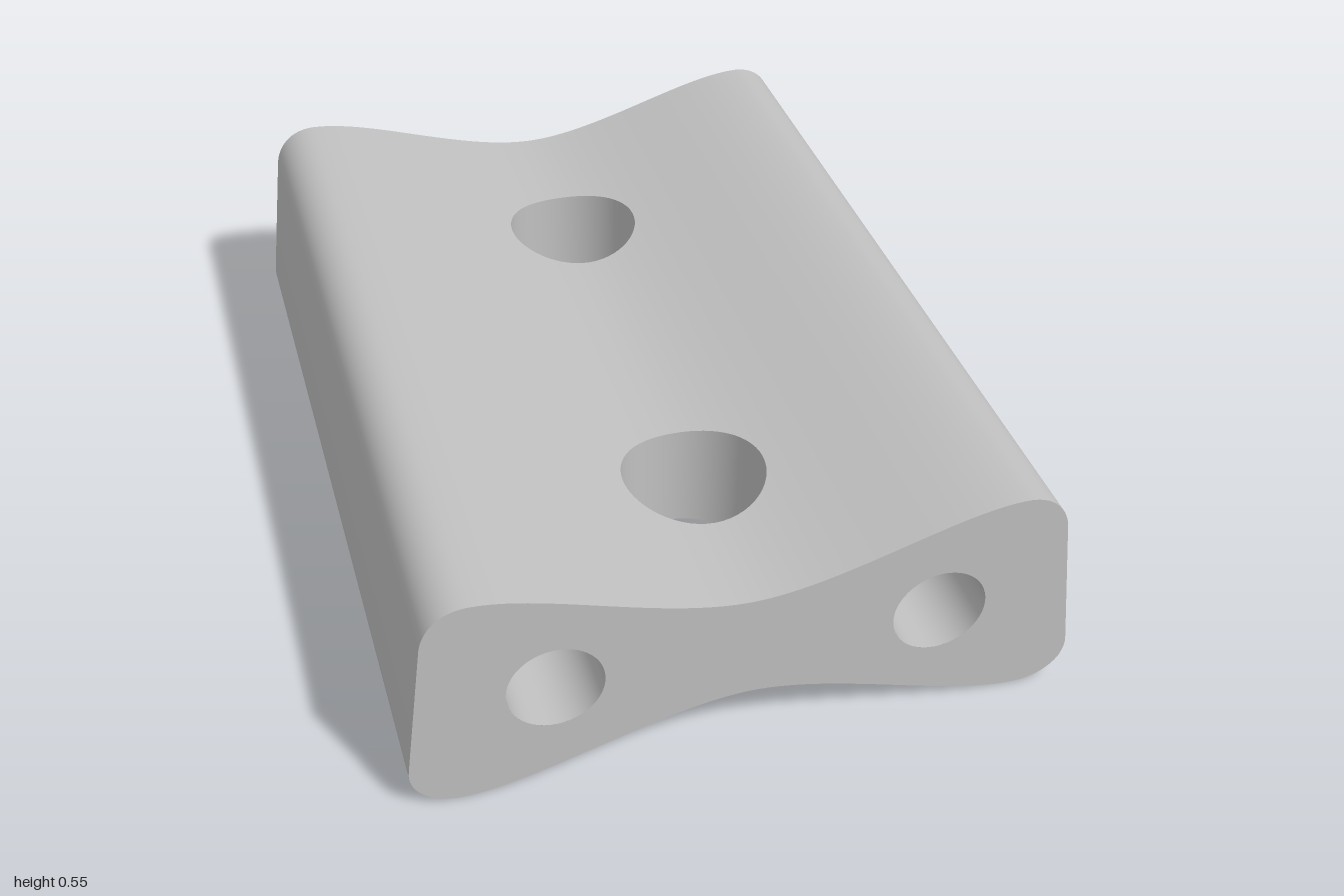
import * as THREE from 'three';

const HOLE_R = 0.165, HOLE_Z = [-0.51, 0.57];
const BORE_X = 0.433, BORE_R = 0.055, COUNTER_R = 0.108, COUNTER_Z = 0.6;
const QUARTER = 14; // hole facets per quarter turn

const bezier = (...p) => new THREE.CubicBezierCurve(
  ...[0, 2, 4, 6].map(i => new THREE.Vector2(p[i], p[i + 1])));

// Right half of the waisted cross-section
const bottomCurve = bezier(0, 0.144, 0.2, 0.144, 0.47, 0, 0.64, 0);
const lowerCorner = bezier(0.64, 0, 0.71, 0, 0.768, 0.045, 0.756, 0.115);
const upperCorner = bezier(0.715, 0.455, 0.705, 0.51, 0.665, 0.545, 0.61, 0.545);
const topCurve = bezier(0, 0.407, 0.2, 0.407, 0.45, 0.545, 0.61, 0.545);

// Point on a curve at a given x
function pointAt(curve, x) {
  let a = 0, b = 1;
  for (let i = 0; i < 40; i++) {
    const m = (a + b) / 2;
    if (curve.getPoint(m).x < x) a = m; else b = m;
  }
  return new THREE.Vector2(x, curve.getPoint(b).y);
}

// Columns follow the vertical holes near the waist, then run evenly outward
function halfCurve(curve, xEnd) {
  const pts = [];
  for (let k = 0; k <= QUARTER; k++) pts.push(pointAt(curve, HOLE_R * Math.sin(k / QUARTER * Math.PI / 2)));
  for (let k = 1; k <= 18; k++) pts.push(pointAt(curve, HOLE_R + (xEnd - HOLE_R) * k / 18));
  return pts;
}

function makeOutline() {
  const right = [
    ...halfCurve(bottomCurve, 0.64),
    ...lowerCorner.getPoints(12).slice(1),
    ...upperCorner.getPoints(12).slice(0, -1),
    ...halfCurve(topCurve, 0.61).reverse(),
  ];
  const left = right.slice(1, -1).reverse().map(p => new THREE.Vector2(-p.x, p.y));
  return [...right, ...left];
}

// Quads from corners [x, y, z] with one normal per corner
function quadGeometry(quads) {
  const pos = [], nor = [];
  for (const { c, n } of quads) {
    for (const i of [0, 1, 2, 0, 2, 3]) {
      pos.push(...c[i]);
      nor.push(...n[i]);
    }
  }
  const g = new THREE.BufferGeometry();
  g.setAttribute('position', new THREE.Float32BufferAttribute(pos, 3));
  g.setAttribute('normal', new THREE.Float32BufferAttribute(nor, 3));
  return g;
}

// Long outer skin, cut by the two vertical holes
function skinGeometry(outline) {
  const n = outline.length;
  const dir = outline.map((p, i) => outline[(i + 1) % n].clone().sub(p).normalize());
  const normals = outline.map((p, i) => {
    const d = dir[i].clone().add(dir[(i + n - 1) % n]).normalize();
    return [d.y, -d.x, 0];
  });
  const stops = p => {
    const h = Math.sqrt(Math.max(0, HOLE_R ** 2 - p.x ** 2));
    return [-1, ...HOLE_Z.flatMap(z => [z - h, z + h]), 1];
  };
  const quads = [];
  outline.forEach((p, i) => {
    const j = (i + 1) % n, q = outline[j], sp = stops(p), sq = stops(q);
    for (let k = 0; k < sp.length; k += 2) {
      quads.push({
        c: [[p.x, p.y, sp[k]], [q.x, q.y, sq[k]], [q.x, q.y, sq[k + 1]], [p.x, p.y, sp[k + 1]]],
        n: [normals[i], normals[j], normals[j], normals[i]],
      });
    }
  });
  return quadGeometry(quads);
}

// Inner wall of a vertical hole, trimmed to the curved skin
function holeWallGeometry(zc) {
  const ring = [];
  for (let k = 0; k <= QUARTER * 4; k++) {
    const a = k / QUARTER * Math.PI / 2, s = Math.sin(a), c = Math.cos(a);
    const x = HOLE_R * s, z = zc + HOLE_R * c;
    ring.push({
      lo: [x, pointAt(bottomCurve, Math.abs(x)).y, z],
      hi: [x, pointAt(topCurve, Math.abs(x)).y, z],
      n: [-s, 0, -c],
    });
  }
  return quadGeometry(ring.slice(1).map((q, i) => {
    const p = ring[i];
    return { c: [p.lo, p.hi, q.hi, q.lo], n: [p.n, p.n, q.n, q.n] };
  }));
}

export function createModel() {
  const group = new THREE.Group();
  const grey = new THREE.MeshStandardMaterial({ color: 0xc0c0c0 });
  grey.name = 'light grey';
  const add = (name, geometry, parent = group) => {
    const mesh = new THREE.Mesh(geometry, grey);
    mesh.name = name;
    parent.add(mesh);
    return mesh;
  };

  const outline = makeOutline();
  add('bodySkin', skinGeometry(outline));
  HOLE_Z.forEach((z, i) => add(i ? 'frontHoleWall' : 'backHoleWall', holeWallGeometry(z)));

  // End faces with the counterbore openings
  const face = new THREE.Shape(outline);
  for (const s of [-1, 1]) {
    const circle = new THREE.Path().absarc(s * BORE_X, 0.272, COUNTER_R, 0, Math.PI * 2, true);
    face.holes.push(new THREE.Path(circle.getPoints(48)));
  }
  add('frontFace', new THREE.ShapeGeometry(face)).position.z = 1;
  const back = add('backFace', new THREE.ShapeGeometry(face));
  back.rotation.y = Math.PI;
  back.position.z = -1;

  // Lengthwise bores, widened at both ends
  const profile = [
    [COUNTER_R, 1], [COUNTER_R, COUNTER_Z], [BORE_R, COUNTER_Z],
    [BORE_R, -COUNTER_Z], [COUNTER_R, -COUNTER_Z], [COUNTER_R, -1],
  ].map(p => new THREE.Vector2(...p));
  for (const s of [-1, 1]) {
    const bore = new THREE.Group();
    bore.name = s > 0 ? 'leftBore' : 'rightBore';
    bore.position.set(s * BORE_X, 0.272, 0);
    bore.rotation.x = Math.PI / 2;
    const names = ['frontCounterbore', 'frontStep', 'boreWall', 'backStep', 'backCounterbore'];
    names.forEach((name, i) => add(name, new THREE.LatheGeometry([profile[i], profile[i + 1]], 48), bore));
    group.add(bore);
  }
  return group;
}
